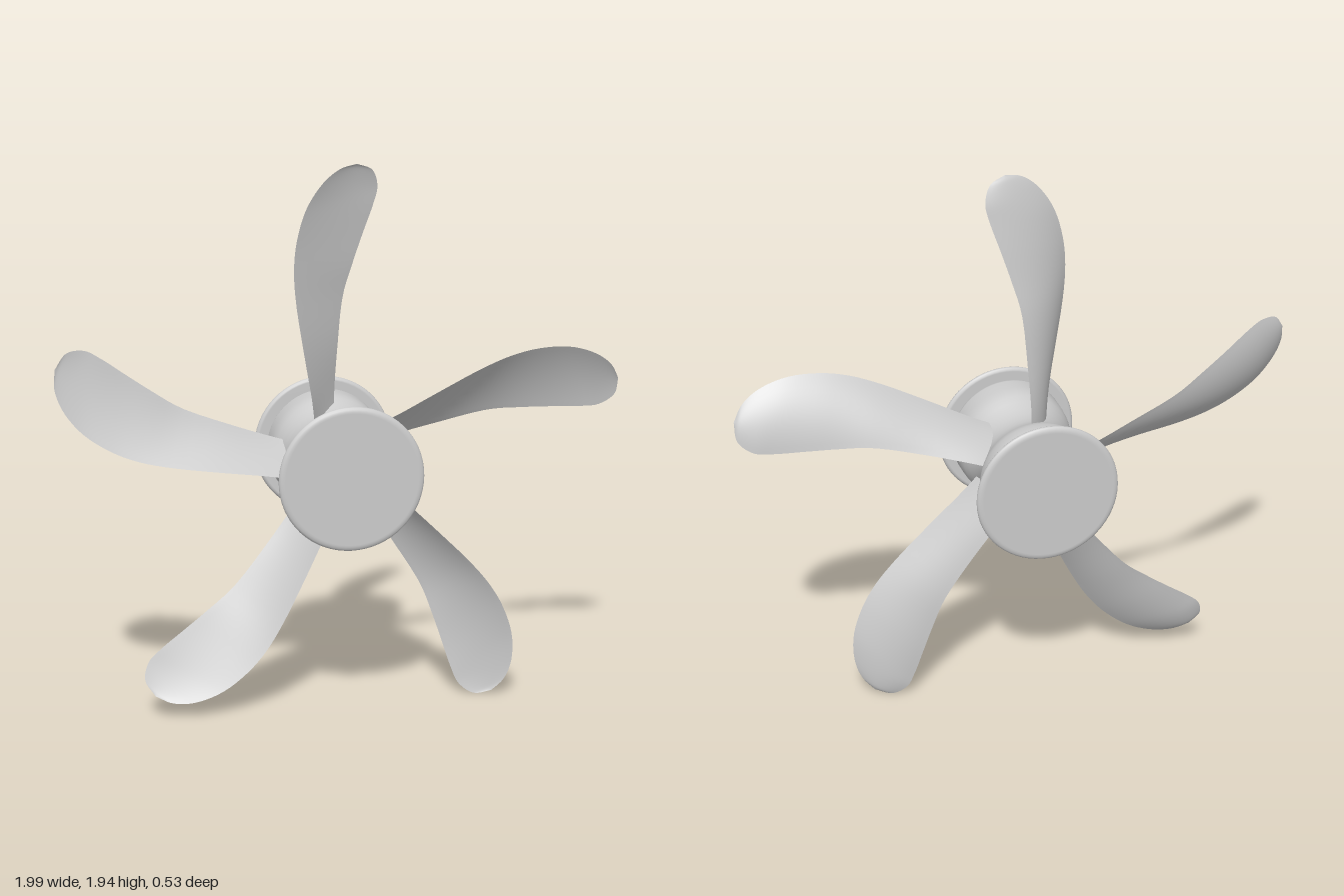
import * as THREE from 'three';

const BLADES = 5;
const HUB_Y = 0.905;
const HUB_X = -0.02;

const curve = (pts) => new THREE.CatmullRomCurve3(pts.map((p) => new THREE.Vector3(...p)));

// Turned parts: profile of [radius, z] pairs, spun round the z axis
function turned(profile) {
  const pts = profile.map(([r, z]) => new THREE.Vector2(r, z));
  return new THREE.LatheGeometry(pts, 64).rotateX(Math.PI / 2);
}

// Blade edges from root to a shared tip, relative to the hub centre
const leadingEdge = curve([
  [-0.09, 0.13, 0.065], [-0.1, 0.225, 0.072], [-0.13, 0.4, 0.08], [-0.158, 0.58, 0.085],
  [-0.165, 0.69, 0.088], [-0.155, 0.79, 0.088], [-0.12, 0.9, 0.085], [-0.06, 0.985, 0.078],
  [0, 1.028, 0.066], [0.06, 1.042, 0.05],
]);
const trailingEdge = curve([
  [0.01, 0.13, -0.095], [0.008, 0.225, -0.088], [0.015, 0.4, -0.063], [0.03, 0.58, -0.043],
  [0.06, 0.69, -0.03], [0.095, 0.8, -0.018], [0.128, 0.9, -0.004], [0.14, 0.96, 0.006],
  [0.118, 1.018, 0.027], [0.06, 1.042, 0.05],
]);

// Twisted, cambered blade: a front and a back skin meeting at sharp edges
function bladeGeometry() {
  const spans = 48, chords = 12;
  const pos = [], index = [];
  const up = new THREE.Vector3(0, 1, 0);
  for (const side of [1, -1]) {
    const base = pos.length / 3;
    for (let i = 0; i <= spans; i++) {
      const u = Math.sin((i / spans) * Math.PI / 2);
      const a = leadingEdge.getPoint(u), b = trailingEdge.getPoint(u);
      const chord = b.clone().sub(a);
      const normal = chord.clone().cross(up);
      const width = chord.length();
      if (width > 1e-5) normal.normalize();
      for (let j = 0; j <= chords; j++) {
        const t = j / chords;
        const bulge = 4 * t * (1 - t) * width;
        const p = a.clone().addScaledVector(chord, t)
          .addScaledVector(normal, bulge * (-0.07 + side * 0.025));
        pos.push(p.x, p.y, p.z);
      }
    }
    for (let i = 0; i < spans; i++) {
      for (let j = 0; j < chords; j++) {
        const p = base + i * (chords + 1) + j, q = p + chords + 1;
        if (side > 0) index.push(p, p + 1, q + 1, p, q + 1, q);
        else index.push(p, q + 1, p + 1, p, q, q + 1);
      }
    }
  }
  const g = new THREE.BufferGeometry();
  g.setAttribute('position', new THREE.Float32BufferAttribute(pos, 3));
  g.setIndex(index);
  g.computeVertexNormals();
  return g;
}

export function createModel() {
  const group = new THREE.Group();
  const metal = new THREE.MeshStandardMaterial({ color: 0xcccccc, side: THREE.DoubleSide });
  metal.name = 'light grey metal';

  const rotor = new THREE.Group();
  rotor.name = 'rotor';
  rotor.position.set(HUB_X, HUB_Y, 0);
  group.add(rotor);

  const add = (name, geometry) => {
    const mesh = new THREE.Mesh(geometry, metal);
    mesh.name = name;
    rotor.add(mesh);
    return mesh;
  };

  // Waisted hub barrel, mirrored front to back
  const half = [[0.166, 0], [0.168, 0.03], [0.176, 0.06], [0.189, 0.09], [0.201, 0.115],
    [0.208, 0.14], [0.21, 0.17], [0.211, 0.225], [0.208, 0.238], [0.2, 0.247]];
  const back = half.slice(1).reverse().map(([r, z]) => [r, -z]);
  add('hubBarrel', turned([...back, ...half]));

  // Round-edged end discs
  const disc = [[0, 0.244], [0.238, 0.244], [0.244, 0.245], [0.25, 0.249], [0.252, 0.255],
    [0.25, 0.261], [0.244, 0.265], [0.236, 0.267], [0.23, 0.267], [0, 0.267]];
  const discGeometry = turned(disc);
  add('frontDisc', discGeometry);
  add('backDisc', discGeometry).rotation.y = Math.PI;

  // Five evenly spaced blades
  const blade = bladeGeometry();
  for (let i = 0; i < BLADES; i++) {
    add('blade' + (i + 1), blade).rotation.z = (i * Math.PI * 2) / BLADES;
  }
  return group;
}
